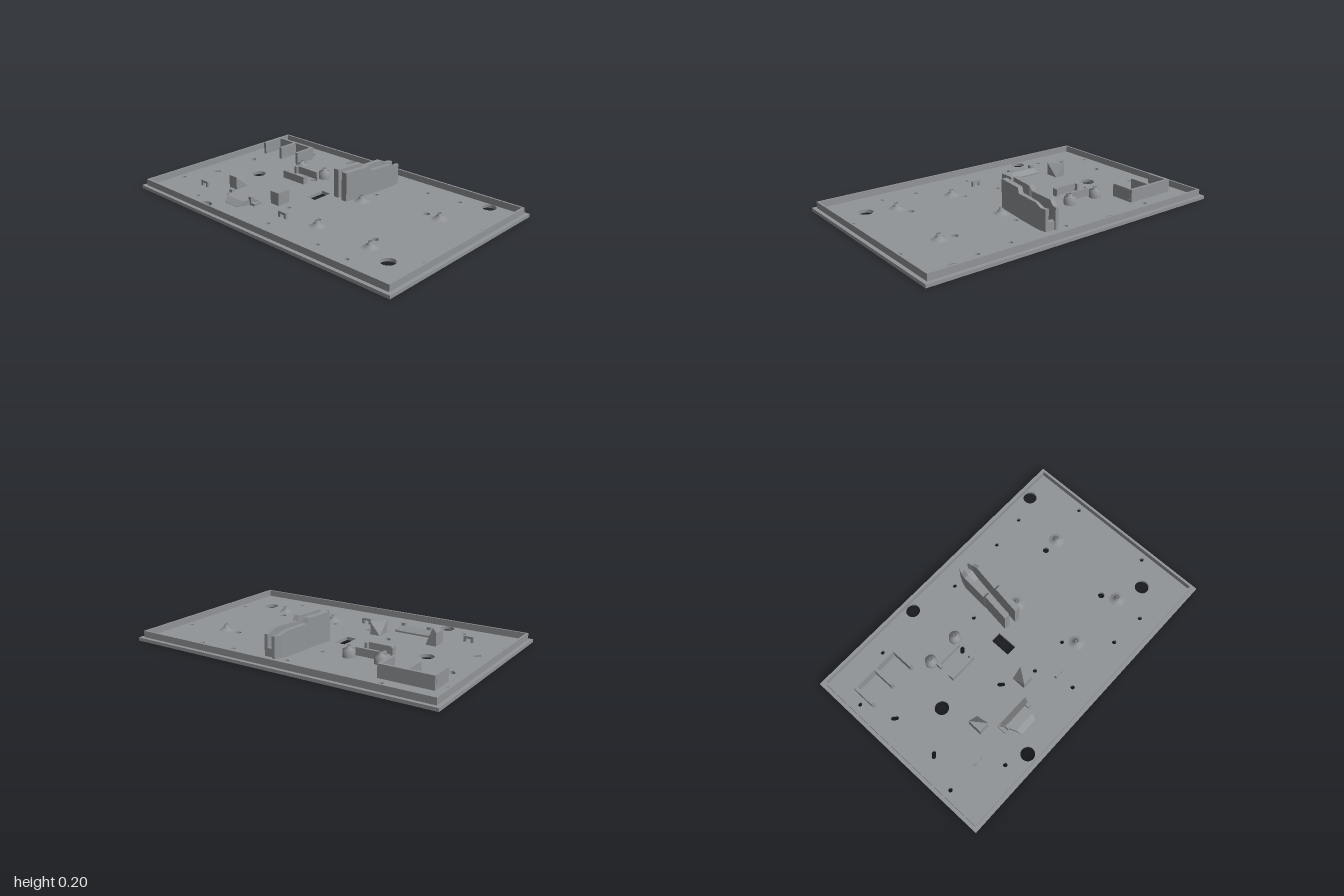
import * as THREE from 'three';
import { ConvexGeometry } from 'three/addons/geometries/ConvexGeometry.js';

const material = new THREE.MeshStandardMaterial({ color: 0x919497 });
const FLOOR = 0.02;

function add(parent, name, geometry) {
  const mesh = new THREE.Mesh(geometry, material);
  mesh.name = name;
  parent.add(mesh);
}

// Outline in (x, z), turned into a shape that lies flat once extruded
const outline = (pts, Type = THREE.Shape) =>
  new Type(pts.map(([x, z]) => new THREE.Vector2(x, -z)));

const rect = (x0, x1, z0, z1) => [[x0, z1], [x1, z1], [x1, z0], [x0, z0]];

function slab(shape, y0, y1) {
  return new THREE.ExtrudeGeometry(shape, { depth: y1 - y0, bevelEnabled: false, curveSegments: 24 })
    .rotateX(-Math.PI / 2).translate(0, y0, 0);
}

function block(parent, name, x0, x1, z0, z1, top) {
  const g = new THREE.BoxGeometry(x1 - x0, top - FLOOR, z1 - z0);
  add(parent, name, g.translate((x0 + x1) / 2, (top + FLOOR) / 2, (z0 + z1) / 2));
}

// Solid through rectangular stations [z, height, x0, x1], listed from front to back
function loft(stations) {
  const rings = stations.map(([z, h, x0, x1]) =>
    [[x0, FLOOR, z], [x1, FLOOR, z], [x1, h, z], [x0, h, z]]);
  const pos = [];
  const quad = (a, b, c, d) => pos.push(...a, ...b, ...c, ...a, ...c, ...d);
  for (let i = 0; i < rings.length - 1; i++) {
    for (let k = 0; k < 4; k++) {
      const n = (k + 1) % 4;
      quad(rings[i][k], rings[i + 1][k], rings[i + 1][n], rings[i][n]);
    }
  }
  quad(...rings[0]);
  quad(...rings[rings.length - 1].slice().reverse());
  const g = new THREE.BufferGeometry();
  g.setAttribute('position', new THREE.Float32BufferAttribute(pos, 3));
  g.computeVertexNormals();
  return g;
}

function circleHole(x, z, r) {
  const p = new THREE.Path();
  p.absarc(x, -z, r, 0, Math.PI * 2, true);
  return p;
}

// Rounded slot, angle measured in the flat shape plane
function slotHole(x, z, angle) {
  const pts = [];
  for (let i = 0; i < 16; i++) {
    const t = (i < 8 ? i / 7 : 1 + (i - 8) / 7) * Math.PI - Math.PI / 2;
    const u = Math.cos(t) * 0.013 + (i < 8 ? 0.011 : -0.011), v = Math.sin(t) * 0.013;
    pts.push([x + u * Math.cos(angle) - v * Math.sin(angle),
      z - u * Math.sin(angle) - v * Math.cos(angle)]);
  }
  return outline(pts, THREE.Path);
}

// Softly shaded round boss with a blind screw hole; profile is [radius, y] from floor to tip
function boss(parent, x, z, profile) {
  const [r, top] = profile[profile.length - 1];
  const pts = [...profile, [r * 0.5, top], [r * 0.5, FLOOR + 0.01], [0, FLOOR + 0.01]];
  const g = new THREE.LatheGeometry(pts.map(([a, b]) => new THREE.Vector2(a, b)), 24);
  add(parent, 'screwBoss', g.translate(x, 0, z));
}

export function createModel() {
  const model = new THREE.Group();
  model.name = 'trayPanel';

  // Base plate with all of its openings
  const plate = outline(rect(-1, 1, -0.638, 0.638));
  for (const [x, z] of [[-0.294, -0.56], [0.78, -0.557], [-0.615, 0], [0.78, 0.38], [-0.476, 0.556]])
    plate.holes.push(circleHole(x, z, 0.043));
  for (const s of [-1, 1]) {
    for (const [x, z] of [[-0.61, 0.503], [-0.925, 0.37], [0, 0.486], [0.385, 0.486],
      [0.61, 0.503], [0.925, 0.262], [-0.075, 0.252], [0.171, 0.252]])
      plate.holes.push(circleHole(x, s * z, 0.013));
    plate.holes.push(circleHole(0.567, s * 0.23, 0.02));
    plate.holes.push(slotHole(-0.845, s * 0.16, s * Math.PI / 4));
    plate.holes.push(slotHole(-0.273, s * 0.16, -Math.PI / 4 * s));
  }
  plate.holes.push(outline(rect(-0.11, -0.043, -0.07, 0.064), THREE.Path));
  add(model, 'basePlate', slab(plate, 0, FLOOR));

  // Raised rim, set in from the plate edge
  const rim = outline(rect(-0.977, 0.977, -0.615, 0.615));
  rim.holes.push(outline(rect(-0.965, 0.965, -0.603, 0.603), THREE.Path));
  add(model, 'rim', slab(rim, FLOOR, 0.06));

  // Tall cable channel: [z, height, left outer, left inner, right inner, right outer]
  const channel = new THREE.Group();
  channel.name = 'cableChannel';
  model.add(channel);
  const stations = [
    [-0.045, 0.2, 0, 0.037, 0.075, 0.112],
    [-0.225, 0.2, 0.023, 0.062, 0.101, 0.134],
    [-0.242, 0.17, 0.022, 0.054, 0.107, 0.139],
    [-0.41, 0.17, 0.035, 0.064, 0.134, 0.155],
    [-0.455, 0.15, 0.05, 0.08, 0.134, 0.155],
    [-0.49, 0.15, 0.07, 0.09, 0.128, 0.15]];
  add(channel, 'channelWall', loft(stations.map(([z, h, a, b]) => [z - 0.013, h, a, b])));
  add(channel, 'channelWall', loft(stations.map(([z, h, , , c, d]) => [z, h, c, d])));
  add(channel, 'channelRamp', loft([[-0.41, 0.022, 0.06, 0.136], [-0.46, 0.07, 0.078, 0.136],
    [-0.49, 0.07, 0.085, 0.13]]));

  // Three-pronged bracket
  const fork = new THREE.Group();
  fork.name = 'forkBracket';
  model.add(fork);
  block(fork, 'forkBack', -0.885, -0.555, -0.45, -0.432, 0.1);
  for (const x of [-0.876, -0.72, -0.564]) block(fork, 'forkProng', x - 0.01, x + 0.01, -0.433, -0.295, 0.1);

  // Facing pair of shallow holders; the rear one leaves room for the slot
  const holder = new THREE.Group();
  holder.name = 'holder';
  model.add(holder);
  block(holder, 'holderBar', -0.45, -0.267, -0.2, -0.184, 0.068);
  block(holder, 'holderBar', -0.45, -0.267, -0.08, -0.064, 0.068);
  block(holder, 'holderEnd', -0.45, -0.433, -0.184, -0.165, 0.068);
  for (const x of [-0.45, -0.284]) block(holder, 'holderEnd', x, x + 0.017, -0.1, -0.08, 0.068);

  // Corner supports with a sloped inner face, mirrored about the latch centre
  const cx = -0.355;
  for (const s of [-1, 1]) {
    const outer = cx + s * 0.222, inner = cx + s * 0.155;
    const pts = [[outer, 0.1, 0.187], [outer, 0.1, 0.278], [inner, 0.1, 0.278],
      [outer, FLOOR, 0.187], [outer, FLOOR, 0.278], [inner, FLOOR, 0.278], [inner, FLOOR, 0.187]];
    add(model, 'cornerSupport', new ConvexGeometry(pts.map((p) => new THREE.Vector3(...p))));
  }

  // Latch: sloped rear lip, side arms, stops and a tapering tongue
  const latch = new THREE.Group();
  latch.name = 'latch';
  model.add(latch);
  const span = (z, h, w) => [z, h, cx - w, cx + w];
  add(latch, 'latchLip', loft([span(0.358, 0.055, 0.097), span(0.32, 0.03, 0.122)]));
  add(latch, 'latchTongue', loft([span(0.455, 0.022, 0.058), span(0.42, 0.05, 0.07), span(0.358, 0.055, 0.097)]));
  for (const s of [-1, 1]) {
    const arm = cx + s * 0.111, stop = cx + s * 0.087;
    block(latch, 'latchArm', arm - 0.012, arm + 0.012, 0.325, 0.38, 0.035);
    block(latch, 'latchStop', stop - 0.012, stop + 0.012, 0.358, 0.383, 0.072);
  }

  // Small hooks: two legs joined by a cap
  for (const x of [-0.7, 0.003]) {
    const hook = new THREE.Group();
    hook.name = 'hook';
    model.add(hook);
    for (const s of [-1, 1]) block(hook, 'hookLeg', x + s * 0.023 - 0.008, x + s * 0.023 + 0.008, 0.366, 0.38, 0.056);
    const cap = new THREE.BoxGeometry(0.06, 0.014, 0.014);
    add(hook, 'hookCap', cap.translate(x, 0.049, 0.373));
  }

  // Screw bosses: a tall pair and four low mounds
  for (const x of [-0.455, -0.25])
    boss(model, x, -0.24, [[0.038, FLOOR], [0.036, 0.064], [0.016, 0.066], [0.012, 0.086]]);
  for (const [x, z] of [[0.171, -0.118], [0.663, -0.225], [0.225, 0.32], [0.61, 0.32]])
    boss(model, x, z, [[0.05, FLOOR], [0.028, 0.024], [0.025, 0.036], [0.014, 0.038], [0.012, 0.056]]);

  return model;
}
